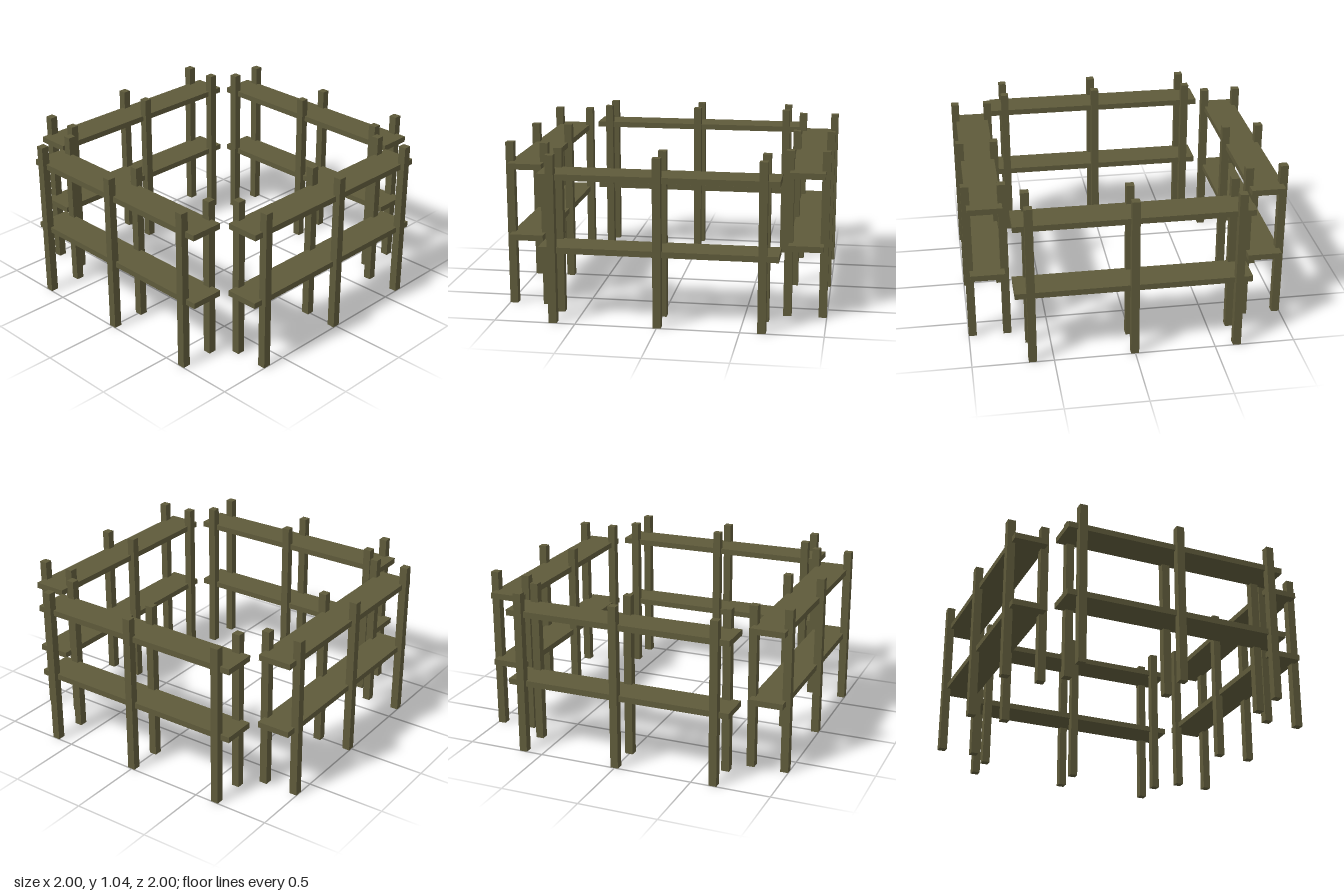
import * as THREE from 'three';

const POST = { width: 0.05, height: 1.038 };
const SHELF = { length: 1.448, width: 0.213, thickness: 0.037 };

export function createModel() {
  const wood = new THREE.MeshStandardMaterial({ color: 0x5e5a3a });
  wood.name = 'olive wood';

  const postGeometry = new THREE.BoxGeometry(POST.width, POST.height, POST.width);
  const shelfGeometries = {
    x: new THREE.BoxGeometry(SHELF.length, SHELF.thickness, SHELF.width),
    z: new THREE.BoxGeometry(SHELF.width, SHELF.thickness, SHELF.length),
  };

  // One two-tier shelf running along an axis, on one side of the square
  function makeShelfUnit(name, axis, side) {
    const unit = new THREE.Group();
    unit.name = name;
    const add = (part, geometry, along, y, across) => {
      const mesh = new THREE.Mesh(geometry, wood);
      mesh.name = part;
      if (axis === 'x') mesh.position.set(along, y, across);
      else mesh.position.set(across, y, along);
      unit.add(mesh);
    };

    // Lower and upper planks
    add('lowerPlank', shelfGeometries[axis], 0, 0.45, side * 0.866);
    add('upperPlank', shelfGeometries[axis], 0, 0.9, side * 0.866);

    // Three pairs of posts, slightly uneven along the planks
    for (const along of [-0.638, 0.002, 0.63]) {
      add('outerPost', postGeometry, along, POST.height / 2, side * 0.975);
      add('innerPost', postGeometry, along, POST.height / 2, side * 0.758);
    }
    return unit;
  }

  const model = new THREE.Group();
  model.name = 'shelfSquare';
  model.add(
    makeShelfUnit('frontShelf', 'x', 1),
    makeShelfUnit('backShelf', 'x', -1),
    makeShelfUnit('leftShelf', 'z', 1),
    makeShelfUnit('rightShelf', 'z', -1),
  );
  return model;
}
